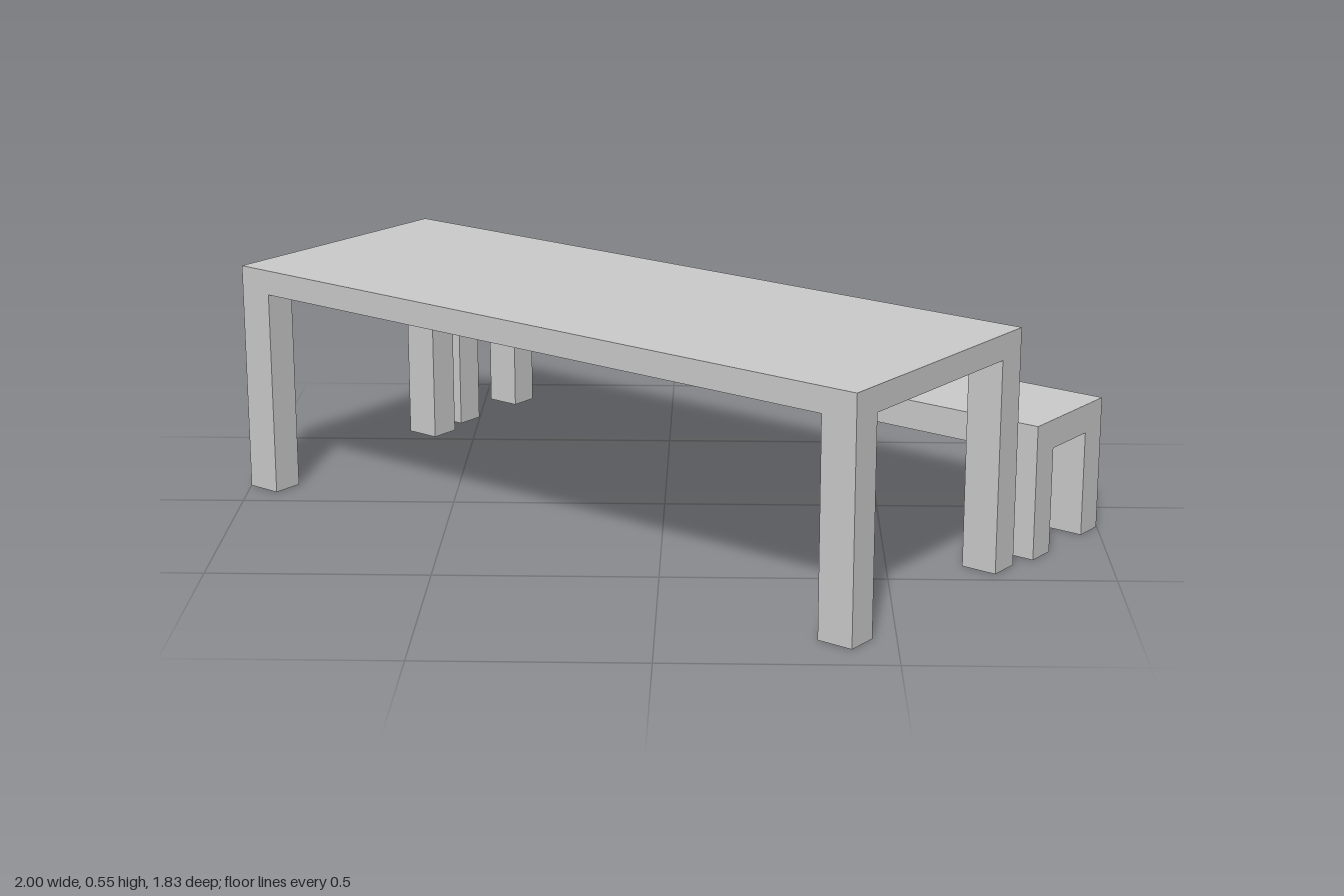
import * as THREE from 'three';

const material = new THREE.MeshStandardMaterial({ color: 0xcccccc, flatShading: true });

function addBox(parent, name, w, h, d, x, y, z) {
  const mesh = new THREE.Mesh(new THREE.BoxGeometry(w, h, d), material);
  mesh.name = name;
  mesh.position.set(x, y, z);
  parent.add(mesh);
}

// A slab on four legs that sit flush with its corners
function makeTrestle(name, { length, width, height, slab, legLength, legWidth }) {
  const group = new THREE.Group();
  group.name = name;
  addBox(group, name + 'Top', length, slab, width, 0, height - slab / 2, 0);
  const legHeight = height - slab;
  for (const sx of [-1, 1]) {
    for (const sz of [-1, 1]) {
      addBox(group, name + 'Leg', legLength, legHeight, legWidth,
        sx * (length - legLength) / 2, legHeight / 2, sz * (width - legWidth) / 2);
    }
  }
  return group;
}

export function createModel() {
  const model = new THREE.Group();
  model.name = 'tableAndBench';
  const turn = -0.633; // both pieces stand diagonally

  const table = makeTrestle('table', {
    length: 1.742, width: 0.637, height: 0.545, slab: 0.058, legLength: 0.085, legWidth: 0.075,
  });
  table.position.set(-0.109, 0, 0.144);
  table.rotation.y = turn;

  const bench = makeTrestle('bench', {
    length: 1.788, width: 0.286, height: 0.311, slab: 0.067, legLength: 0.085, legWidth: 0.071,
  });
  bench.position.set(0.193, 0, -0.274);
  bench.rotation.y = turn;

  model.add(table, bench);
  return model;
}
